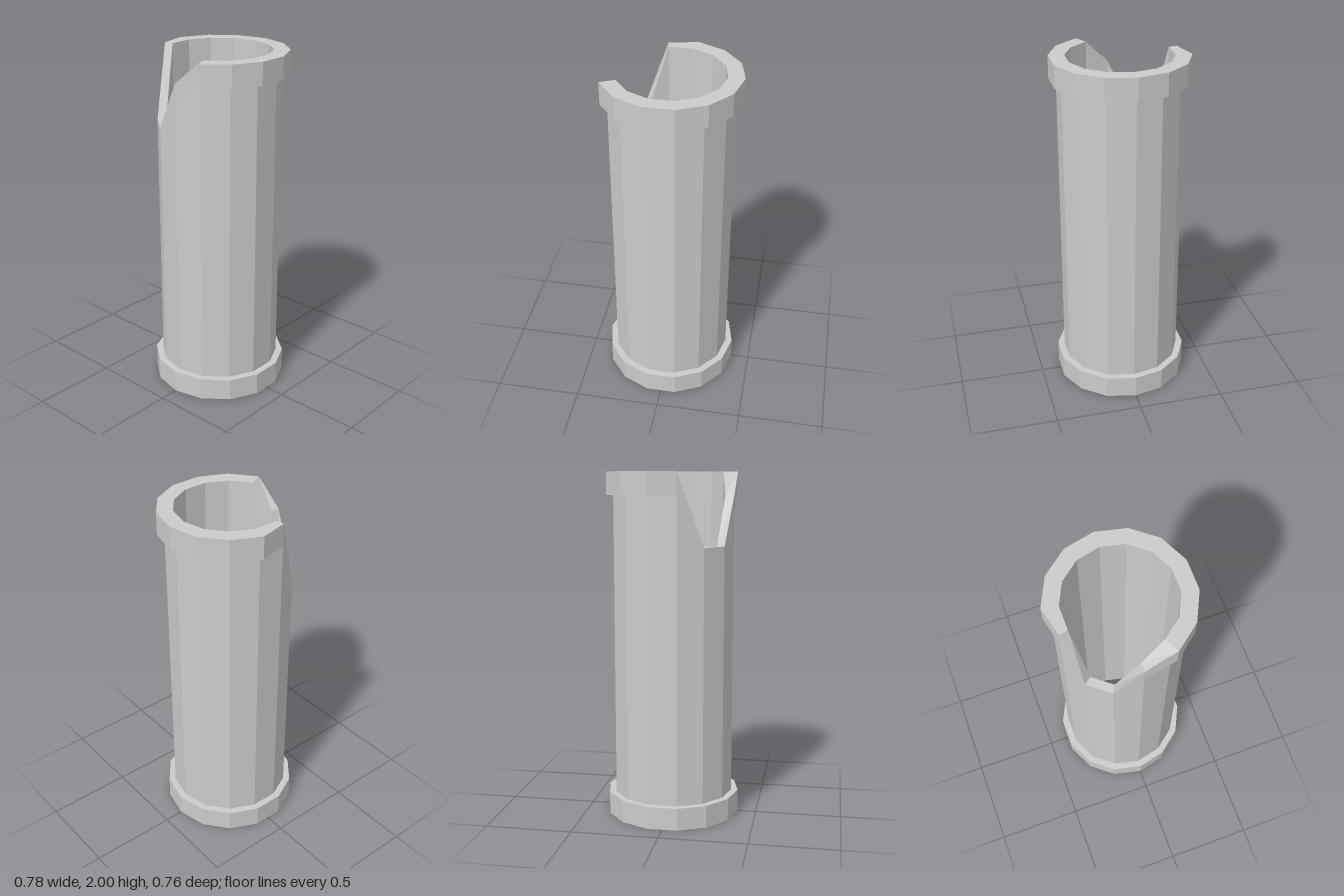
import * as THREE from 'three';

const SIDES = 14;
const INNER = 0.3, SHAFT = 0.35, COLLAR = 0.39;

// Broken columns of the top edge: where the collar has snapped off, the wall drops into a notch.
// Column 0 points to -x, and columns count round towards the back.
const BROKEN = {
  0: { top: 1.87, under: 1.76 },
  1: { top: 1.59, under: 1.59 },
  2: { top: 1.59, under: 1.59 },
  3: { top: 2, under: 1.87 },
};

// Closed wall section of one column: [radius, height], up the outside and down the inside
function section(k) {
  const { top, under } = BROKEN[k] ?? { top: 2, under: 1.87 };
  const rim = k in BROKEN ? SHAFT : COLLAR;
  return [
    [INNER, 0], [COLLAR, 0], [COLLAR, 0.13], [SHAFT, 0.13],
    [SHAFT, under], [rim, under], [rim, top], [INNER, top], [INNER, 0],
  ];
}

function point(k, i) {
  const a = (k / SIDES) * Math.PI * 2;
  const [r, y] = section(k % SIDES)[i];
  return new THREE.Vector3(-r * Math.cos(a), y, -r * Math.sin(a));
}

// Faceted bands between section points first..last, all the way round
function bands(name, first, last, material) {
  const pos = [];
  const tri = (a, b, c) => {
    if (new THREE.Triangle(a, b, c).getArea() < 1e-7) return;
    for (const p of [a, b, c]) pos.push(p.x, p.y, p.z);
  };
  for (let k = 0; k < SIDES; k++) {
    for (let i = first; i < last; i++) {
      const a = point(k, i), b = point(k, i + 1);
      const c = point(k + 1, i + 1), d = point(k + 1, i);
      tri(a, b, c);
      tri(a, c, d);
    }
  }
  const geometry = new THREE.BufferGeometry();
  geometry.setAttribute('position', new THREE.Float32BufferAttribute(pos, 3));
  geometry.computeVertexNormals();
  const mesh = new THREE.Mesh(geometry, material);
  mesh.name = name;
  return mesh;
}

export function createModel() {
  const group = new THREE.Group();
  group.name = 'brokenPipe';
  const material = new THREE.MeshStandardMaterial({ color: 0xcccccc, flatShading: true });
  group.add(
    bands('bottomCollar', 0, 3, material),
    bands('shaft', 3, 4, material),
    bands('brokenTopCollar', 4, 7, material),
    bands('innerWall', 7, 8, material),
  );
  return group;
}
